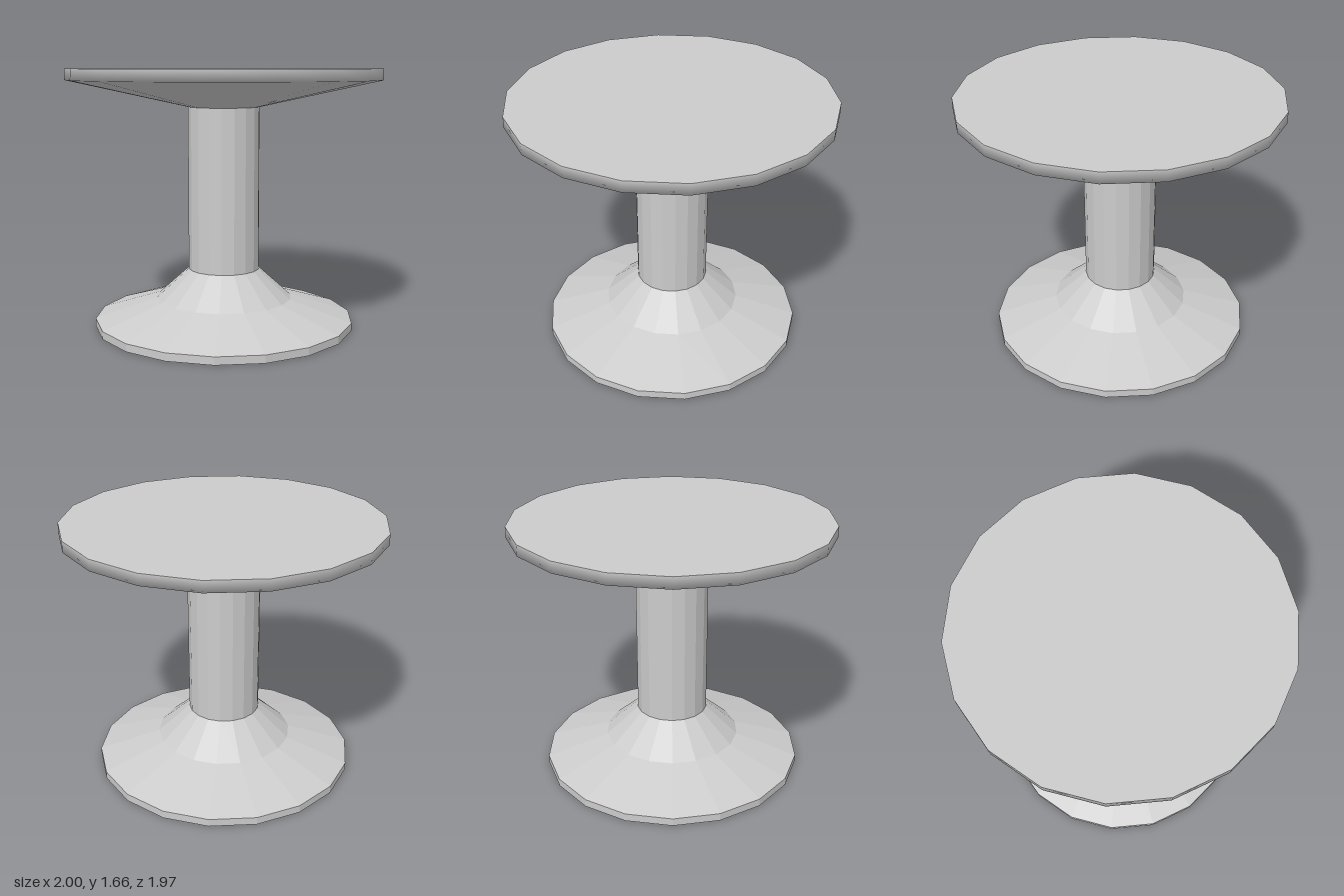
import * as THREE from 'three';

const SIDES = 18;

// Turned part from [radius, height] points listed bottom to top, with a corner on the x axis
function turned(name, points, flatShading) {
  const profile = points.map(([r, y]) => new THREE.Vector2(r, y));
  const geometry = new THREE.LatheGeometry(profile, SIDES).rotateY(Math.PI / 2);
  const mesh = new THREE.Mesh(geometry, new THREE.MeshStandardMaterial({ color: 0xcccccc, flatShading }));
  mesh.name = name;
  return mesh;
}

export function createModel() {
  const group = new THREE.Group();
  group.name = 'pedestalTable';
  group.add(
    // Faceted foot: flat bottom, short rim and two slopes up to the column
    turned('base', [[0, 0], [0.84, 0], [0.84, 0.05], [0.44, 0.18], [0.23, 0.37]], true),
    // Faceted column
    turned('column', [[0.23, 0.37], [0.23, 1.42]], true),
    // Smooth dished underside running into the rim
    turned('topUnderside', [[0.23, 1.42], [1, 1.59], [1, 1.66]], false),
    // Flat surface with a sharp edge
    turned('topSurface', [[1, 1.66], [0, 1.66]], true),
  );
  return group;
}
